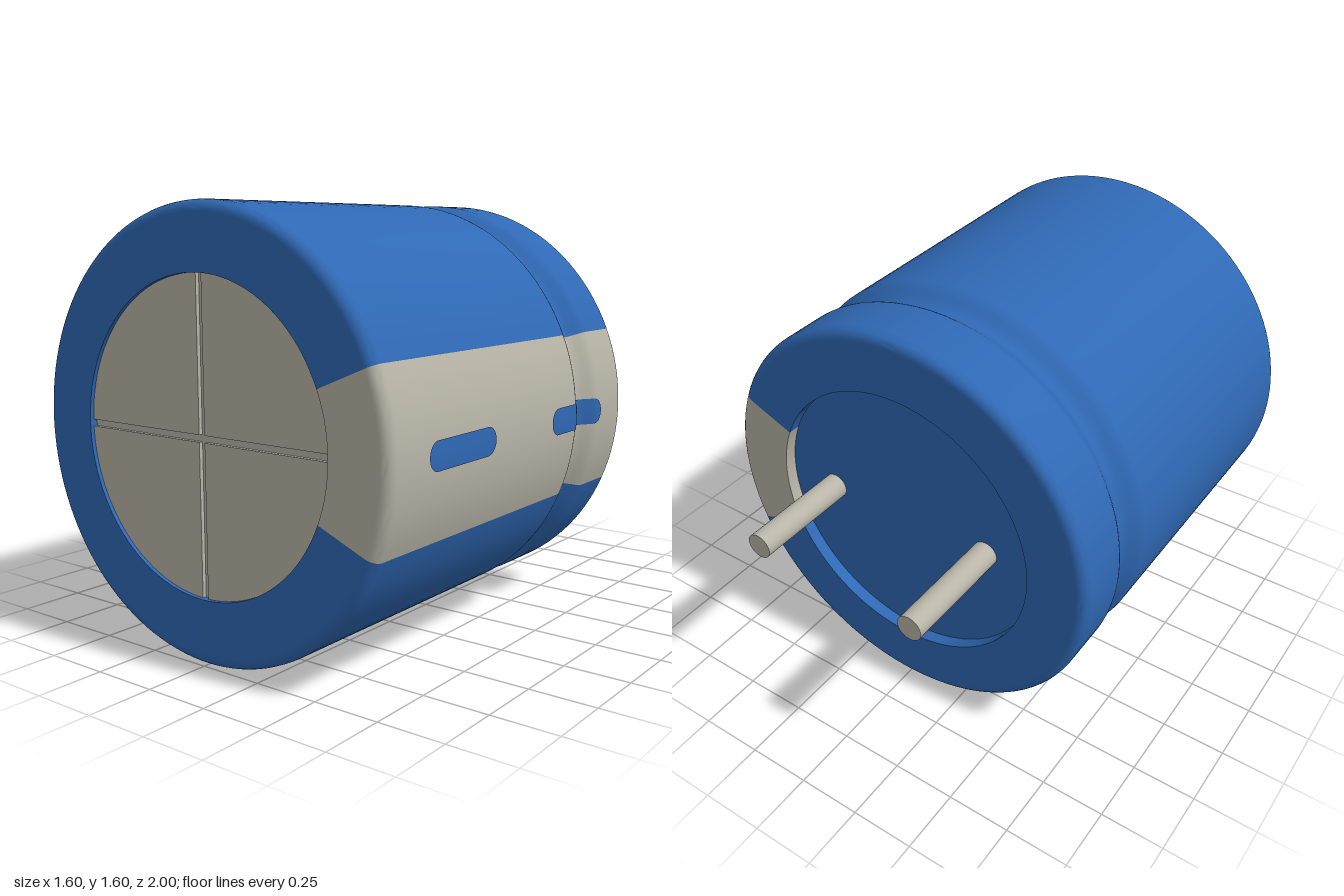
import * as THREE from 'three';
import { toCreasedNormals } from 'three/addons/utils/BufferGeometryUtils.js';

const R = 0.8, CAP_R = 0.56, BACK = -0.6, FRONT = 1, FILLET = 0.04;
const G_MID = -0.28, G_HALF = 0.1, G_DEPTH = 0.045;
const STRIPE = Math.PI / 4; // angular width of the side stripe

// Radius of the sleeve at depth z, including the crimped groove
function sleeveRadius(z) {
  const t = Math.abs(z - G_MID) / G_HALF;
  return t >= 1 ? R : R - G_DEPTH * 0.5 * (1 + Math.cos(Math.PI * t));
}

// Sleeve profile from the back inner lip round to the front inner lip
function sleeveProfile() {
  const pts = [[CAP_R, BACK + 0.05], [CAP_R, BACK], [R - FILLET - 0.01, BACK]];
  const steps = 6;
  for (let i = 0; i <= steps; i++) {
    const a = (i / steps) * Math.PI / 2;
    pts.push([R - FILLET + FILLET * Math.sin(a), BACK + FILLET - FILLET * Math.cos(a)]);
  }
  for (let i = 0; i <= 16; i++) {
    const z = G_MID - G_HALF + (i / 16) * 2 * G_HALF;
    pts.push([sleeveRadius(z), z]);
  }
  for (let i = 0; i <= steps; i++) {
    const a = (i / steps) * Math.PI / 2;
    pts.push([R - FILLET + FILLET * Math.cos(a), FRONT - FILLET + FILLET * Math.sin(a)]);
  }
  pts.push([R - FILLET - 0.01, FRONT], [CAP_R, FRONT], [CAP_R, FRONT - 0.03]);
  return pts.map(([r, z]) => new THREE.Vector2(r, z));
}

// Sector of the sleeve, turned so that its axis runs along z
function sleeveSector(start, length, segments) {
  const g = new THREE.LatheGeometry(sleeveProfile(), segments, start, length);
  g.rotateX(Math.PI / 2);
  return toCreasedNormals(g, 0.6);
}

// Rounded dash draped over the stripe
function dashGeometry(zMid) {
  const g = new THREE.PlaneGeometry(1, 1, 64, 4);
  const p = g.attributes.position;
  const halfLength = 0.2, end = 0.05;
  for (let i = 0; i < p.count; i++) {
    const s = halfLength * Math.sin(Math.PI * p.getX(i));
    const d = Math.max(0, Math.abs(s) - (halfLength - end));
    const y = 2 * p.getY(i) * Math.sqrt(Math.max(0, end * end - d * d));
    const z = zMid - s;
    const r = sleeveRadius(z) + 0.004;
    p.setXYZ(i, Math.sqrt(r * r - y * y), y, z);
  }
  g.computeVertexNormals();
  return g;
}

// Quarter of the end cap, leaving half a score line along both straight sides
function capQuarter() {
  const gap = 0.0125, r = CAP_R, a = Math.asin(gap / r);
  const s = new THREE.Shape();
  s.moveTo(gap, gap);
  s.lineTo(r * Math.cos(a), gap);
  s.absarc(0, 0, r, a, Math.PI / 2 - a, false);
  s.closePath();
  return new THREE.ExtrudeGeometry(s, { depth: 0.015, bevelEnabled: false, curveSegments: 24 });
}

export function createModel() {
  const model = new THREE.Group();
  const blue = new THREE.MeshStandardMaterial({ color: 0x2f68b4 });
  blue.name = 'blueSleeve';
  const grey = new THREE.MeshStandardMaterial({ color: 0xb9b5a8 });
  grey.name = 'warmGreyMetal';

  const add = (name, geometry, material, x = 0, z = 0) => {
    const m = new THREE.Mesh(geometry, material);
    m.name = name;
    m.position.set(x, R, z);
    model.add(m);
    return m;
  };

  // Sleeve with its stripe on the left side
  const start = Math.PI / 2 - STRIPE / 2;
  add('sleeve', sleeveSector(start + STRIPE, Math.PI * 2 - STRIPE, 112), blue);
  add('stripe', sleeveSector(start, STRIPE, 16), grey);
  for (const z of [0.6, -0.2]) add('stripeDash', dashGeometry(z), blue);

  // Scored metal cap at the front
  add('capBase', new THREE.CircleGeometry(CAP_R, 96), grey, 0, FRONT - 0.03);
  for (let i = 0; i < 4; i++) {
    add('capQuarter', capQuarter(), grey, 0, FRONT - 0.03).rotation.z = i * Math.PI / 2;
  }

  // Recessed seal at the back
  add('seal', new THREE.CircleGeometry(CAP_R, 96), blue, 0, BACK + 0.05).rotation.y = Math.PI;

  // Pins of slightly different length
  for (const [x, tip] of [[-0.35, -1], [0.35, -0.98]]) {
    const root = BACK + 0.06;
    const pin = new THREE.CylinderGeometry(0.05, 0.05, root - tip, 32);
    pin.rotateX(Math.PI / 2);
    add('pin', pin, grey, x, (root + tip) / 2);
  }
  return model;
}
